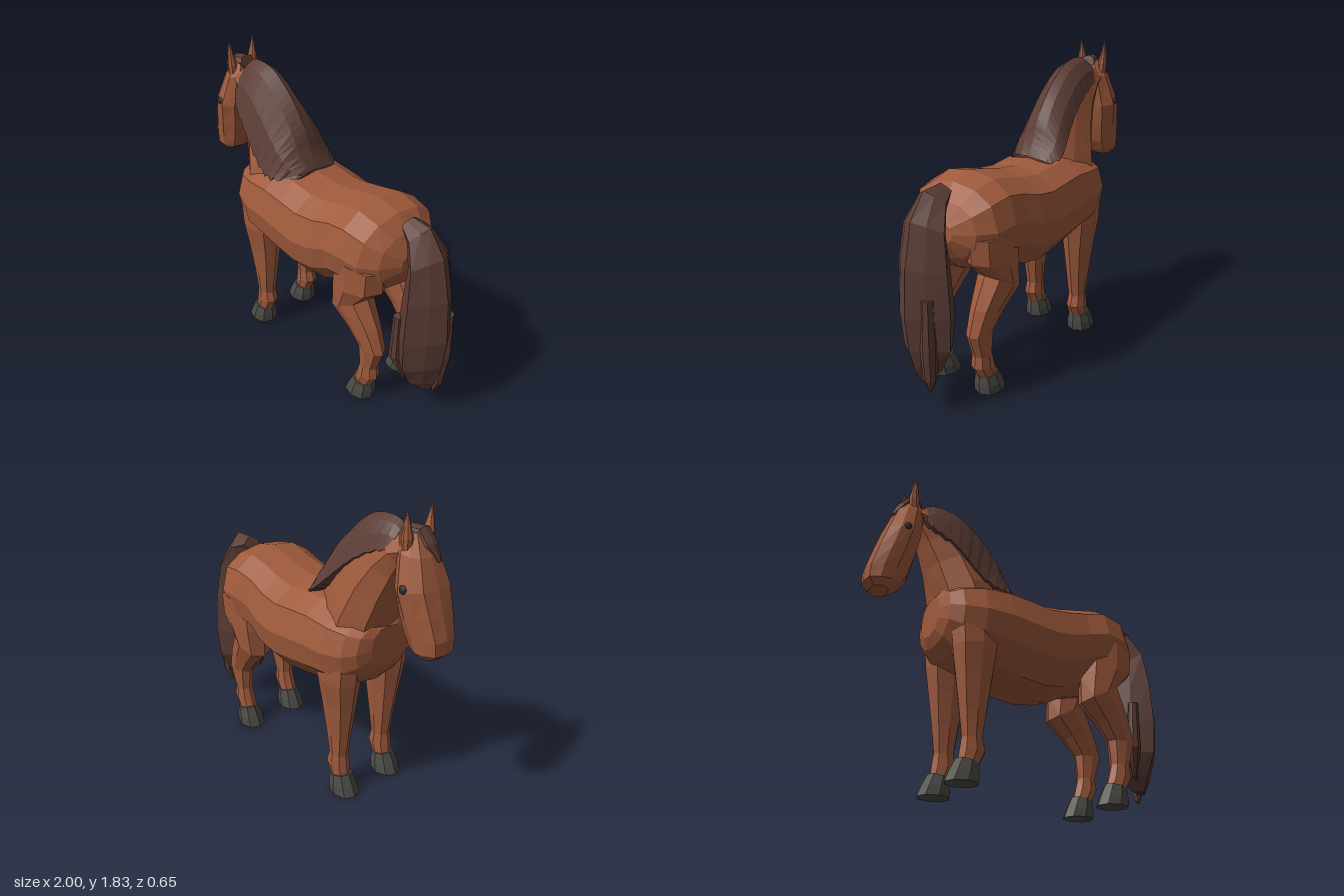
import * as THREE from 'three';

const mat = (name, color) => {
  const m = new THREE.MeshStandardMaterial({ color });
  m.name = name;
  return m;
};

// Closed, faceted skin over rings of points, with both ends capped.
function skin(rings) {
  const n = rings[0].length, pos = [], tri = [];
  rings.forEach(r => r.forEach(p => pos.push(p.x, p.y, p.z)));
  for (let i = 0; i < rings.length - 1; i++) {
    for (let j = 0; j < n; j++) {
      const a = i * n + j, b = i * n + (j + 1) % n;
      tri.push(a, b, a + n, b, b + n, a + n);
    }
  }
  [0, rings.length - 1].forEach((r, end) => {
    const c = new THREE.Vector3();
    rings[r].forEach(p => c.addScaledVector(p, 1 / n));
    const k = pos.length / 3;
    pos.push(c.x, c.y, c.z);
    for (let j = 0; j < n; j++) {
      const a = r * n + j, b = r * n + (j + 1) % n;
      if (end) tri.push(a, b, k); else tri.push(b, a, k);
    }
  });
  // Turn the faces outward
  const v = i => new THREE.Vector3().fromArray(pos, i * 3);
  let volume = 0;
  for (let i = 0; i < tri.length; i += 3) volume += v(tri[i]).dot(v(tri[i + 1]).cross(v(tri[i + 2])));
  if (volume < 0) tri.reverse();
  const g = new THREE.BufferGeometry();
  g.setAttribute('position', new THREE.Float32BufferAttribute(pos, 3));
  g.setIndex(tri);
  const flat = g.toNonIndexed();
  flat.computeVertexNormals();
  return flat;
}

// Each row is a ring: start x, y, end x, y, half width and sideways centre.
// The half section [width, along] is mirrored to close the ring.
function loft(section, rows) {
  const full = [...section, ...section.slice(1, -1).reverse().map(([u, t]) => [-u, t])];
  return skin(rows.map(([ax, ay, bx, by, w, zc = 0]) => full.map(([u, t]) => {
    const k = (1 + t) / 2;
    return new THREE.Vector3(ax + (bx - ax) * k, ay + (by - ay) * k, zc + u * w);
  })));
}

const BARREL = [[0, -1], [0.55, -0.87], [0.92, -0.42], [1, 0.08], [0.86, 0.64], [0.5, 0.91], [0, 1]];
const NECK = [[0, -1], [0.65, -0.85], [1, -0.3], [0.8, 0.3], [0.42, 0.85], [0, 1]];
const HEAD = [[0, -1], [0.62, -0.9], [0.92, -0.4], [1, 0.2], [0.7, 0.8], [0, 1]];
const LIMB = [[0, -1], [0.72, -0.72], [1, 0], [0.72, 0.72], [0, 1]];
const TAIL = [[0, -1], [0.6, -0.7], [1, 0.05], [0.5, 0.62], [0, 1]];

export function createModel() {
  const coat = mat('coat brown', 0x9f5a3c);
  const hair = mat('hair dark brown', 0x5c3d35);
  const hoofGrey = mat('hoof grey', 0x4b4a45);
  const eyeDark = mat('eye dark', 0x322c2a);

  const model = new THREE.Group();
  model.name = 'horse';
  const add = (name, geometry, material) => {
    const m = new THREE.Mesh(geometry, material);
    m.name = name;
    model.add(m);
    return m;
  };

  // Trunk, from chest to rump
  add('body', loft(BARREL, [
    [-0.59, 0.87, -0.585, 1.11, 0.12],
    [-0.56, 0.81, -0.56, 1.14, 0.21],
    [-0.5, 0.74, -0.5, 1.17, 0.27],
    [-0.38, 0.69, -0.38, 1.2, 0.315],
    [-0.24, 0.66, -0.22, 1.22, 0.322],
    [-0.09, 0.63, -0.09, 1.212, 0.325],
    [0.06, 0.61, 0.06, 1.195, 0.325],
    [0.2, 0.63, 0.19, 1.21, 0.32],
    [0.32, 0.69, 0.32, 1.24, 0.302],
    [0.45, 0.72, 0.45, 1.265, 0.315],
    [0.57, 0.73, 0.59, 1.23, 0.295],
    [0.67, 0.82, 0.67, 1.15, 0.22],
    [0.73, 0.92, 0.725, 1.05, 0.1]
  ]), coat);

  add('neck', loft(NECK, [
    [-0.57, 0.95, -0.08, 1.14, 0.25],
    [-0.585, 1.12, -0.16, 1.28, 0.22],
    [-0.63, 1.28, -0.24, 1.48, 0.17],
    [-0.68, 1.42, -0.38, 1.62, 0.13],
    [-0.72, 1.52, -0.55, 1.7, 0.11],
    [-0.78, 1.56, -0.66, 1.7, 0.09]
  ]), coat);

  add('head', loft(HEAD, [
    [-0.79, 1.71, -0.71, 1.71, 0.055],
    [-0.86, 1.6, -0.68, 1.62, 0.11],
    [-0.92, 1.45, -0.7, 1.42, 0.155],
    [-0.965, 1.31, -0.725, 1.28, 0.135],
    [-1, 1.19, -0.755, 1.17, 0.115],
    [-1, 1.11, -0.79, 1.11, 0.105],
    [-0.96, 1.075, -0.86, 1.068, 0.07]
  ]), coat);

  // Paired parts
  for (const s of [1, -1]) {
    const side = s > 0 ? 'Near' : 'Far';

    add('ear' + side, loft(LIMB, [
      [-0.785, 1.6, -0.73, 1.6, 0.028, s * 0.07],
      [-0.795, 1.69, -0.73, 1.69, 0.028, s * 0.076],
      [-0.782, 1.76, -0.745, 1.76, 0.015, s * 0.082],
      [-0.768, 1.83, -0.762, 1.83, 0.003, s * 0.086]
    ]), coat);

    const eye = add('eye' + side, new THREE.SphereGeometry(0.024, 8, 6), eyeDark);
    eye.scale.z = 0.6;
    eye.position.set(-0.815, 1.45, s * 0.145);

    add('frontLeg' + side, loft(LIMB, [
      [-0.47, 0.1, -0.355, 0.09, 0.055, s * 0.17],
      [-0.46, 0.18, -0.31, 0.18, 0.058, s * 0.17],
      [-0.45, 0.25, -0.33, 0.25, 0.052, s * 0.17],
      [-0.47, 0.4, -0.305, 0.4, 0.063, s * 0.17],
      [-0.5, 0.6, -0.275, 0.6, 0.085, s * 0.172],
      [-0.525, 0.76, -0.25, 0.78, 0.11, s * 0.175],
      [-0.54, 0.95, -0.25, 0.95, 0.11, s * 0.175]
    ]), coat);

    add('hindLeg' + side, loft(LIMB, [
      [0.48, 0.1, 0.6, 0.09, 0.055, s * 0.17],
      [0.505, 0.18, 0.65, 0.18, 0.058, s * 0.17],
      [0.525, 0.25, 0.64, 0.25, 0.052, s * 0.17],
      [0.51, 0.39, 0.69, 0.39, 0.062, s * 0.17],
      [0.43, 0.49, 0.645, 0.54, 0.08, s * 0.175],
      [0.32, 0.59, 0.56, 0.72, 0.11, s * 0.18],
      [0.32, 0.77, 0.67, 0.82, 0.125, s * 0.18],
      [0.34, 0.98, 0.68, 0.96, 0.12, s * 0.185]
    ]), coat);

    // Hooves share one shape, placed under each leg
    for (const [name, x] of [['front', -0.54], ['hind', 0.417]]) {
      add(name + 'Hoof' + side, loft(LIMB, [
        [x, 0, x + 0.195, 0, 0.081, s * 0.17],
        [x + 0.025, 0.06, x + 0.197, 0.05, 0.077, s * 0.17],
        [x + 0.06, 0.13, x + 0.192, 0.105, 0.063, s * 0.17]
      ]), hoofGrey);
    }
  }

  // Mane: a crest line with a long ragged edge on one side, a short one on the other
  const curve = pts => new THREE.CatmullRomCurve3(pts.map(p => new THREE.Vector3(...p)));
  const crest = curve([[-0.7, 1.68, 0], [-0.65, 1.73, 0], [-0.58, 1.745, 0], [-0.46, 1.725, 0], [-0.35, 1.65, 0],
    [-0.25, 1.55, 0], [-0.17, 1.43, 0], [-0.13, 1.32, 0], [-0.08, 1.22, 0]]);
  const longEdge = curve([[-0.71, 1.58, 0.09], [-0.68, 1.52, 0.13], [-0.62, 1.47, 0.16], [-0.53, 1.4, 0.185], [-0.45, 1.31, 0.2],
    [-0.36, 1.22, 0.21], [-0.27, 1.18, 0.215], [-0.2, 1.18, 0.2], [-0.08, 1.2, 0.13]]);
  const shortEdge = curve([[-0.7, 1.6, -0.08], [-0.66, 1.6, -0.1], [-0.58, 1.58, -0.11], [-0.47, 1.52, -0.125], [-0.36, 1.43, -0.14],
    [-0.27, 1.34, -0.16], [-0.2, 1.27, -0.18], [-0.14, 1.22, -0.185], [-0.08, 1.2, -0.13]]);
  const steps = 24, maneRings = [];
  for (let i = 0; i <= steps; i++) {
    const t = i / steps, top = crest.getPoint(t);
    const ragged = i % 2 ? 1 : 0;
    const low = longEdge.getPoint(t).add(new THREE.Vector3(0.012, -0.025, 0.008).multiplyScalar(ragged));
    const high = shortEdge.getPoint(t).add(new THREE.Vector3(0.008, -0.012, -0.004).multiplyScalar(ragged));
    const between = (edge, k, spread) => {
      const p = top.clone().lerp(edge, k);
      p.z = edge.z * spread;
      return p;
    };
    const inner = low.clone().lerp(high, 0.5).setZ(0);
    maneRings.push([top, between(low, 0.12, 0.36), between(low, 0.5, 0.74), low, inner,
      high, between(high, 0.5, 0.74), between(high, 0.15, 0.36)]);
  }
  add('mane', skin(maneRings), hair);

  // Forelock falling over the brow
  add('forelock', loft(LIMB, [
    [-0.72, 1.74, -0.69, 1.66, 0.05],
    [-0.79, 1.735, -0.75, 1.67, 0.05, 0.015],
    [-0.845, 1.66, -0.8, 1.62, 0.05, 0.025],
    [-0.885, 1.57, -0.85, 1.56, 0.012, 0.045]
  ]), hair);

  // Tail with two loose locks
  add('tail', loft(TAIL, [
    [0.65, 1.17, 0.69, 1.25, 0.06],
    [0.7, 1.1, 0.82, 1.24, 0.1],
    [0.73, 0.98, 0.925, 1.1, 0.145],
    [0.71, 0.8, 0.98, 0.85, 0.175],
    [0.69, 0.57, 1, 0.58, 0.19],
    [0.7, 0.38, 0.98, 0.38, 0.175],
    [0.74, 0.25, 0.94, 0.24, 0.11],
    [0.83, 0.17, 0.9, 0.16, 0.03]
  ]), hair);
  const locks = [
    [[0.72, 0.69, 0.78, 0.69, 0.03, 0.125], [0.7, 0.4, 0.78, 0.4, 0.04, 0.12], [0.75, 0.24, 0.78, 0.22, 0.012, 0.08]],
    [[0.87, 0.69, 0.955, 0.69, 0.035, -0.09], [0.86, 0.4, 0.965, 0.4, 0.045, -0.085], [0.86, 0.22, 0.94, 0.2, 0.04, -0.07],
      [0.88, 0.13, 0.9, 0.12, 0.015, -0.06]]
  ];
  locks.forEach(rows => add('tailLock', loft(LIMB, rows), hair));

  return model;
}
